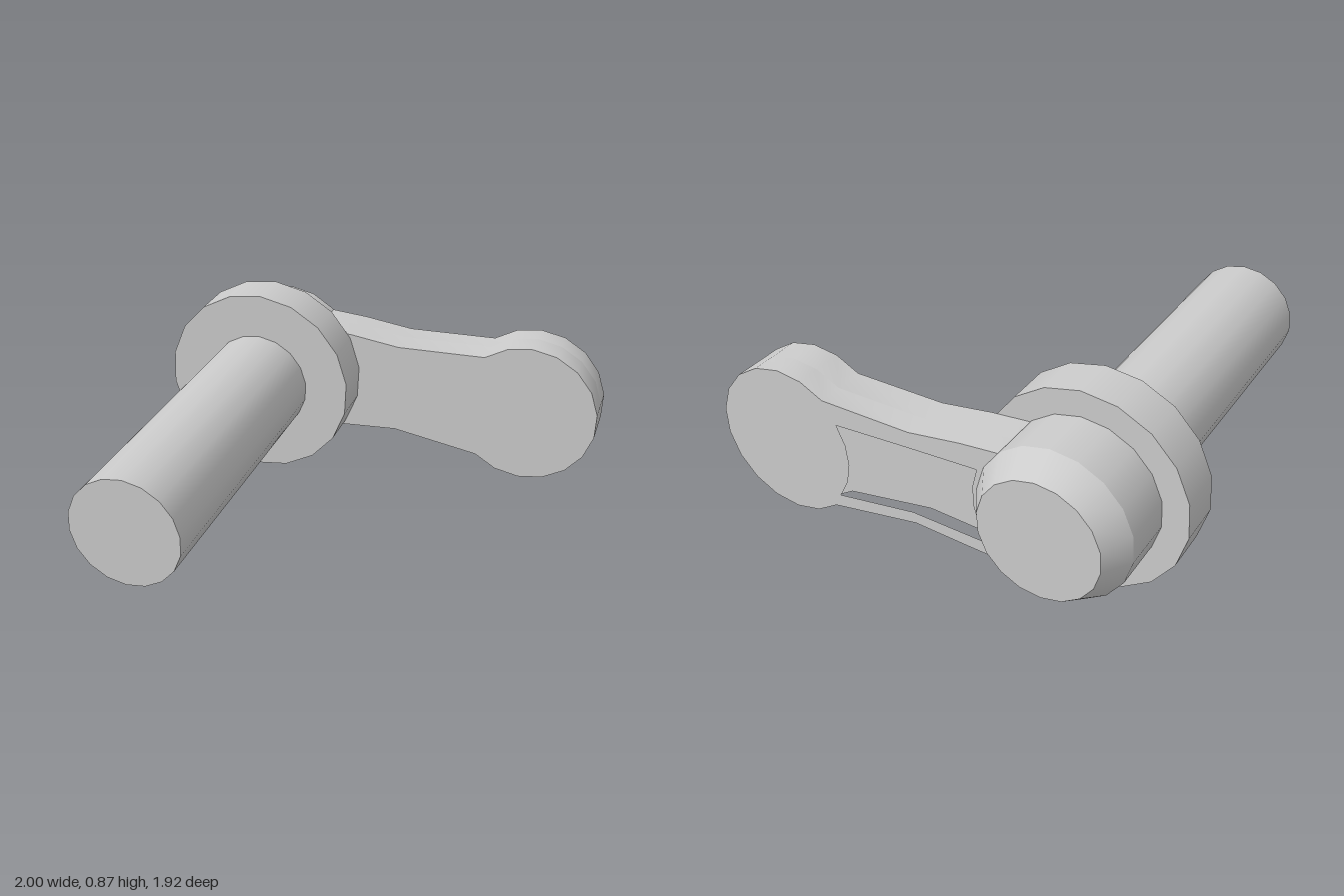
import * as THREE from 'three';
import { toCreasedNormals } from 'three/addons/utils/BufferGeometryUtils.js';

const SIDES = 18;
const HUB = { x: -0.565, y: 0.441 };
const KNOB = { x: 0.67, y: 0.372 };
const rad = THREE.MathUtils.degToRad;

// Points along a circular arc, angles in degrees
function arc(c, r, from, to, steps) {
  return Array.from({ length: steps + 1 }, (_, i) => {
    const a = rad(from + ((to - from) * i) / steps);
    return new THREE.Vector2(c.x + r * Math.cos(a), c.y + r * Math.sin(a));
  });
}

const v = (x, y) => new THREE.Vector2(x, y);

export function createModel() {
  const group = new THREE.Group();
  const material = new THREE.MeshStandardMaterial({ color: 0xcccccc });

  function add(name, geometry) {
    const mesh = new THREE.Mesh(geometry, material);
    mesh.name = name;
    group.add(mesh);
    return mesh;
  }

  // Round part on the hub axis, from zBack to zFront
  function round(name, rBack, rFront, zBack, zFront) {
    const g = new THREE.CylinderGeometry(rFront, rBack, zFront - zBack, SIDES, 1, false, rad(-3));
    g.rotateX(Math.PI / 2);
    add(name, g).position.set(HUB.x, HUB.y, (zBack + zFront) / 2);
  }

  round('shaft', 0.237, 0.237, -0.42, 0.957);
  round('collar', 0.437, 0.437, -0.615, -0.417);
  round('head', 0.327, 0.327, -0.845, -0.615);
  round('headTaper', 0.256, 0.327, -0.96, -0.845);

  // Lever outline: waist on both sides, round knob at the end
  const outline = [
    v(-0.5, 0.67), v(-0.33, 0.672), v(-0.17, 0.658), v(0.06, 0.625),
    ...arc(KNOB, 0.33, 128, -132, 13),
    v(0.05, 0.196), v(-0.19, 0.182), v(-0.33, 0.175), v(-0.5, 0.18),
  ];

  // Pocket in the back of the lever, ending in arcs round the head and the knob
  const pocket = [
    ...arc(HUB, 0.345, -37, 21, 4),
    v(0.08, 0.552),
    ...arc(KNOB, 0.31, 148, 216, 4),
    v(0.06, 0.246),
  ];

  function plate(name, hole, zBack, zFront) {
    const shape = new THREE.Shape(outline);
    if (hole) shape.holes.push(new THREE.Path(hole));
    const g = new THREE.ExtrudeGeometry(shape, { depth: zFront - zBack, bevelEnabled: false });
    add(name, toCreasedNormals(g, rad(30))).position.z = zBack;
  }

  plate('leverPlate', null, -0.74, -0.614);
  plate('leverRim', pocket, -0.846, -0.74);

  return group;
}
